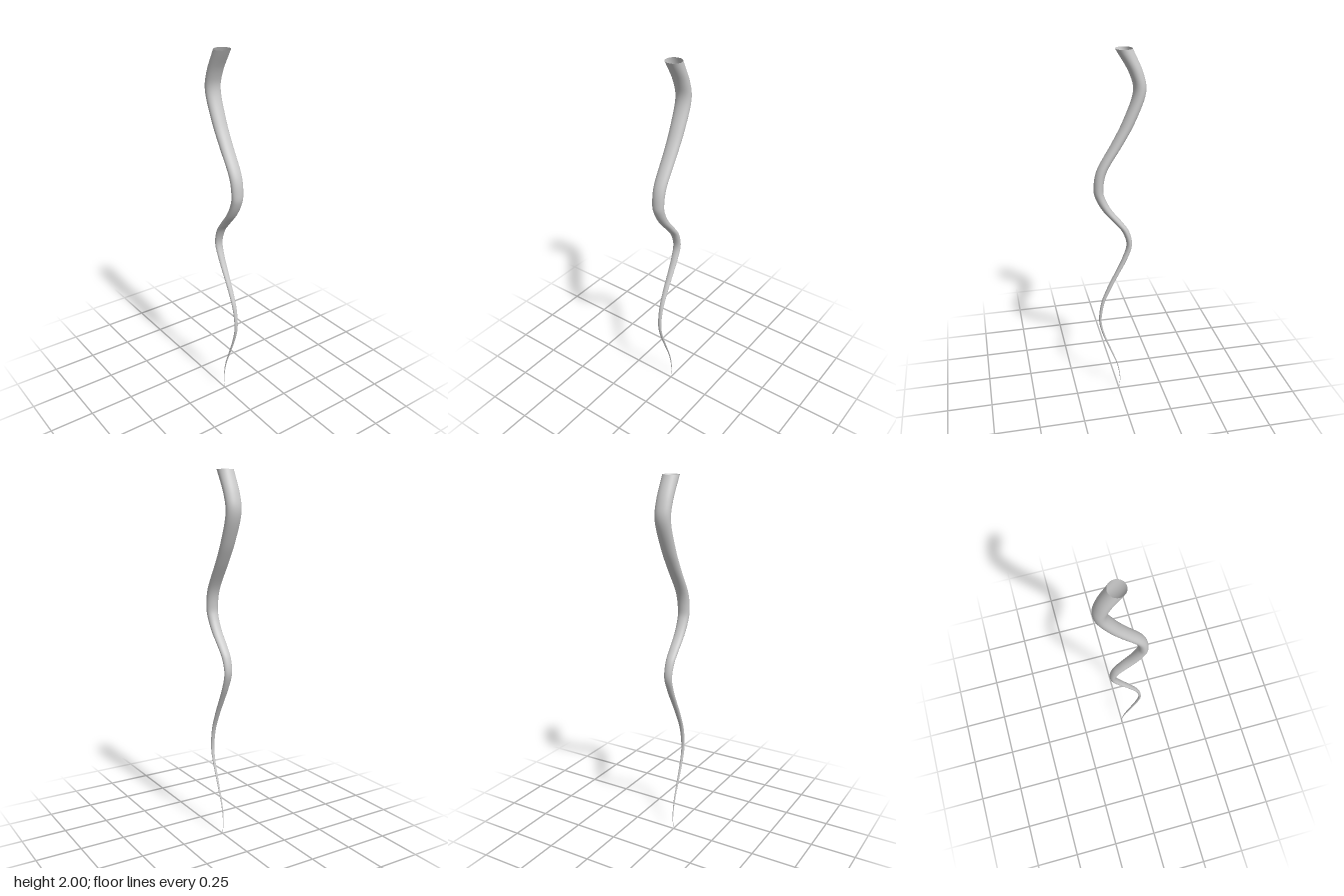
import * as THREE from 'three';

// Height, centre x, half width in x, half depth in z
const SECTIONS = [
  [0.0, 0.0, 0.0004, 0.0005],
  [0.08, -0.007, 0.0015, 0.002],
  [0.18, 0.01, 0.003, 0.004],
  [0.29, 0.05, 0.0045, 0.006],
  [0.4, 0.09, 0.006, 0.008],
  [0.49, 0.107, 0.007, 0.01],
  [0.6, 0.092, 0.009, 0.012],
  [0.7, 0.052, 0.011, 0.0145],
  [0.78, 0.012, 0.012, 0.0165],
  [0.865, -0.03, 0.0135, 0.019],
  [0.95, -0.057, 0.0145, 0.0225],
  [1.03, -0.038, 0.0185, 0.025],
  [1.09, 0.004, 0.022, 0.027],
  [1.16, 0.06, 0.024, 0.029],
  [1.23, 0.097, 0.025, 0.031],
  [1.29, 0.108, 0.025, 0.033],
  [1.39, 0.088, 0.027, 0.035],
  [1.53, 0.006, 0.03, 0.037],
  [1.64, -0.052, 0.0315, 0.0395],
  [1.78, -0.103, 0.032, 0.0425],
  [1.88, -0.086, 0.035, 0.0437],
  [2.0, -0.024, 0.043, 0.0435],
];

const smooth = (points) => new THREE.CatmullRomCurve3(points, false, 'catmullrom', 0.5);

// Tapered tube made of level oval rings, open at the top
function taperedTube(rings, sides) {
  const path = smooth(SECTIONS.map(([y, x]) => new THREE.Vector3(x, y, 0)));
  const size = smooth(SECTIONS.map(([, , w, d]) => new THREE.Vector3(w, 0, d)));
  const positions = [];
  const index = [];
  for (let i = 0; i <= rings; i++) {
    const c = path.getPoint(i / rings);
    const s = size.getPoint(i / rings);
    for (let j = 0; j < sides; j++) {
      const a = (j / sides) * Math.PI * 2;
      positions.push(c.x + Math.cos(a) * s.x, c.y, Math.sin(a) * s.z);
      if (i < rings) {
        const p = i * sides + j;
        const q = i * sides + ((j + 1) % sides);
        index.push(p, p + sides, q, q, p + sides, q + sides);
      }
    }
  }
  const geometry = new THREE.BufferGeometry();
  geometry.setAttribute('position', new THREE.Float32BufferAttribute(positions, 3));
  geometry.setIndex(index);
  geometry.computeVertexNormals();
  return geometry;
}

export function createModel() {
  const group = new THREE.Group();
  group.name = 'wavyTendril';
  const material = new THREE.MeshStandardMaterial({ color: 0xcccccc, side: THREE.DoubleSide });
  const tendril = new THREE.Mesh(taperedTube(126, 32), material);
  tendril.name = 'tendril';
  group.add(tendril);
  return group;
}
